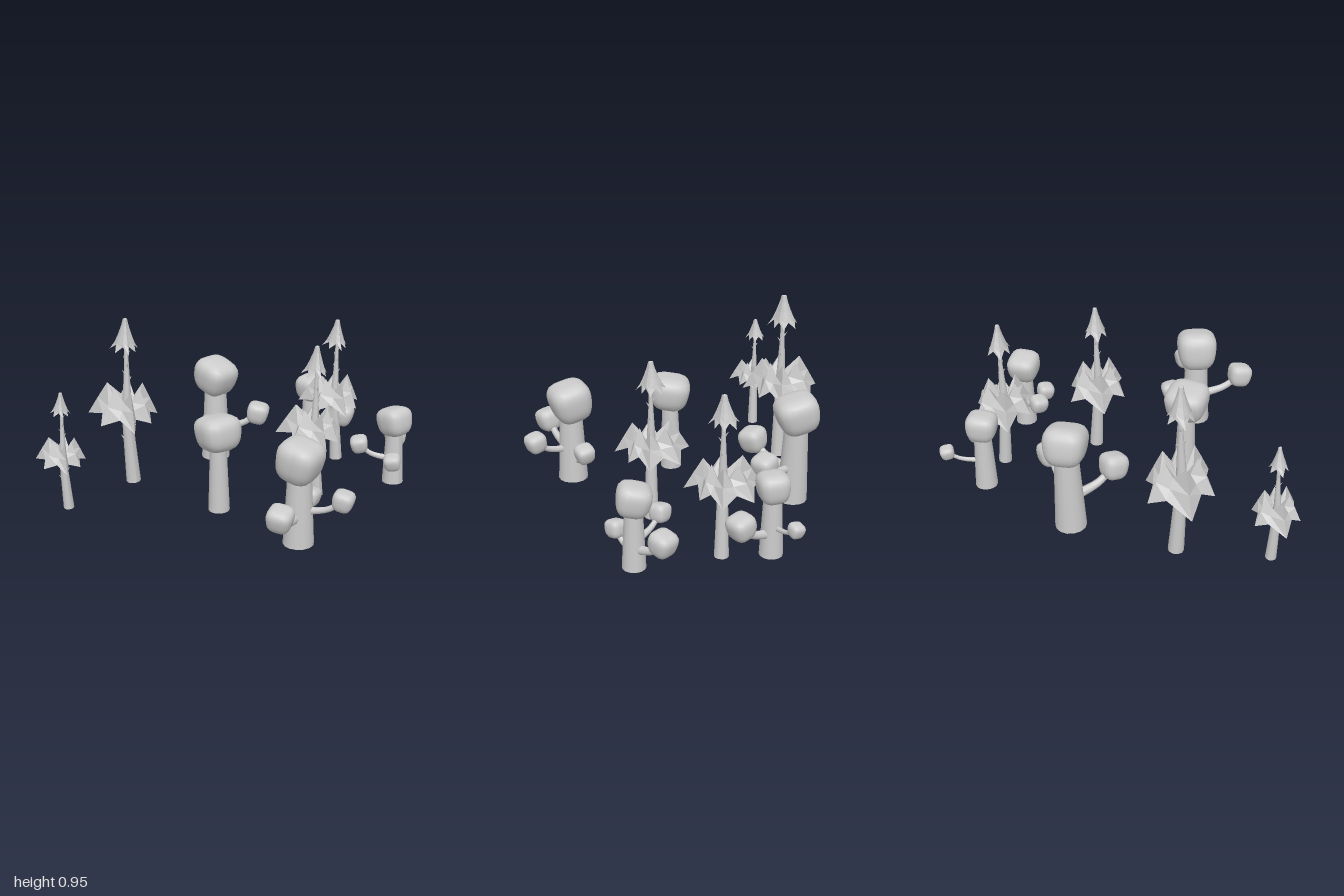
import * as THREE from 'three';

const grey = new THREE.MeshStandardMaterial({ color: 0xcccccc });
const leafMat = new THREE.MeshStandardMaterial({ color: 0xcccccc, side: THREE.DoubleSide });
const V = (x, y, z) => new THREE.Vector3(x, y, z);

function add(parent, name, geometry, material = grey) {
  const mesh = new THREE.Mesh(geometry, material);
  mesh.name = name;
  parent.add(mesh);
  return mesh;
}

// Tube through the points whose radius follows the list of radii
function taperedTube(points, radii, sides, segments = 12) {
  const curve = new THREE.CatmullRomCurve3(points);
  const geo = new THREE.TubeGeometry(curve, segments, 1, sides);
  const pos = geo.attributes.position;
  const v = new THREE.Vector3();
  for (let i = 0; i <= segments; i++) {
    const u = i / segments, f = u * (radii.length - 1);
    const k = Math.min(Math.floor(f), radii.length - 2);
    const r = THREE.MathUtils.lerp(radii[k], radii[k + 1], f - k);
    const c = curve.getPointAt(u);
    for (let j = 0; j <= sides; j++) {
      const n = i * (sides + 1) + j;
      v.fromBufferAttribute(pos, n).sub(c).multiplyScalar(r).add(c);
      pos.setXYZ(n, v.x, v.y, v.z);
    }
  }
  geo.computeVertexNormals();
  return geo;
}

// Soft rounded cube, slightly narrower underneath
function puffGeometry() {
  const geo = new THREE.SphereGeometry(1, 24, 18);
  const pos = geo.attributes.position;
  const p = 3.6;
  for (let i = 0; i < pos.count; i++) {
    const x = pos.getX(i), y = pos.getY(i), z = pos.getZ(i);
    const k = (Math.abs(x) ** p + Math.abs(y) ** p + Math.abs(z) ** p) ** (-1 / p);
    const taper = 0.93 + 0.1 * y * k - 0.08 * (y * k) ** 2;
    pos.setXYZ(i, x * k * taper, y * k, z * k * taper);
  }
  geo.computeVertexNormals();
  return geo;
}
const puff = puffGeometry();

function addPuff(parent, name, [x, y, z], [w, h, d], [rx, ry, rz]) {
  const mesh = add(parent, name, puff);
  mesh.position.set(x, y, z);
  mesh.scale.set(w, h, d);
  mesh.rotation.set(rx, ry, rz, 'YXZ');
}

// Round tree: flared trunk, cushion crown, side branches with small puffs
function roundTree({ base, r, crown, size, turn, branches }) {
  const tree = new THREE.Group();
  tree.name = 'roundTree';
  const foot = V(...base), top = V(...crown);
  const mid = foot.clone().lerp(top, 0.5);
  add(tree, 'trunk', taperedTube([foot, mid, top], [r, r * 0.86, r * 0.72], 14));
  const sole = add(tree, 'trunkBase', new THREE.CircleGeometry(r, 14));
  sole.rotation.x = Math.PI / 2;
  sole.position.copy(foot);
  addPuff(tree, 'crown', crown, size, turn);
  branches.forEach(([x, y, z, s], i) => {
    const start = V(foot.x, y - s * 1.2 - 0.02, foot.z);
    const end = V(x, y, z);
    const bend = V(0, 0, 0).lerpVectors(start, end, 0.65);
    bend.y = start.y + (y - start.y) * 0.35;
    add(tree, 'branch', taperedTube([start, bend, end], [s * 0.4, s * 0.3, s * 0.24], 8));
    addPuff(tree, 'branchPuff', [x, y, z], [s, s * 0.95, s], [0.2, Math.atan2(x - foot.x, z - foot.z), 0.15 * (i - 1)]);
  });
  return tree;
}

// Irregular star outline of the leaf skirts: tips (x, z) and the notch after each
const tips = [[-0.155, -0.203], [0.086, -0.166], [0.171, -0.005], [0.075, 0.118], [-0.064, 0.209], [-0.176, 0.02]];
const notches = [[-0.01, -0.165], [0.1, -0.075], [0.095, 0.06], [-0.02, 0.13], [-0.1, 0.1], [-0.135, -0.05]];
const star = tips.flatMap((t, i) => [t, notches[i]]);

// Each ring: [fraction of star at tips, at notches, y at tips, y at notches, blend to circle radius]
function starSkirt(rings) {
  const n = star.length, verts = [], index = [];
  rings.forEach(([ft, fn, yt, yn]) => star.forEach(([x, z], i) => {
    const f = i % 2 ? fn : ft;
    verts.push(x * f, i % 2 ? yn : yt, z * f);
  }));
  for (let k = 0; k < rings.length - 1; k++) {
    for (let i = 0; i < n; i++) {
      const a = k * n + i, b = k * n + (i + 1) % n;
      index.push(a, a + n, b, b, a + n, b + n);
    }
  }
  const geo = new THREE.BufferGeometry();
  geo.setAttribute('position', new THREE.Float32BufferAttribute(verts, 3));
  geo.setIndex(index);
  const flat = geo.toNonIndexed();
  flat.computeVertexNormals();
  return flat;
}

const skirtGeo = starSkirt([
  [0.1, 0.14, 0.43, 0.43],
  [0.5, 0.5, 0.56, 0.485],
  [0.75, 0.76, 0.465, 0.45],
  [1, 1, 0.365, 0.41],
]);
const capGeo = starSkirt([
  [0, 0, 0.935, 0.935],
  [0.06, 0.085, 0.93, 0.93],
  [0.1, 0.14, 0.895, 0.895],
  [0.19, 0.25, 0.84, 0.845],
  [0.28, 0.34, 0.795, 0.81],
  [0.4, 0.38, 0.755, 0.79],
]);
const pineTrunkGeo = taperedTube(
  [V(0.01, 0, 0), V(-0.002, 0.2, 0), V(-0.012, 0.4, 0), V(-0.006, 0.6, 0), V(0, 0.9, 0)],
  [0.04, 0.033, 0.026, 0.013, 0.008], 10, 24);

// Thorns: height, angle round the trunk, distance from its centre
const thorns = [[0.27, 3.3, 0.036], [0.33, 0.8, 0.034], [0.6, 0.3, 0.018], [0.64, 3.0, 0.018], [0.68, 1.6, 0.016], [0.71, 4.6, 0.016], [0.74, 0.1, 0.014]];

function pine(x, y, z, s) {
  const tree = new THREE.Group();
  tree.name = 'pine';
  add(tree, 'trunk', pineTrunkGeo);
  const sole = add(tree, 'trunkBase', new THREE.CircleGeometry(0.04, 10));
  sole.rotation.x = Math.PI / 2;
  sole.position.x = 0.01;
  add(tree, 'lowerLeaves', skirtGeo, leafMat);
  add(tree, 'topLeaves', capGeo, leafMat);
  for (const [h, a, d] of thorns) {
    const thorn = add(tree, 'thorn', new THREE.ConeGeometry(0.007, 0.035, 5));
    thorn.position.set(Math.cos(a) * d - 0.006, h, Math.sin(a) * d);
    thorn.quaternion.setFromUnitVectors(V(0, 1, 0), V(Math.cos(a), 1.3, Math.sin(a)).normalize());
  }
  tree.position.set(x, y, z);
  tree.scale.setScalar(s);
  return tree;
}

export function createModel() {
  const model = new THREE.Group();
  model.name = 'grove';
  model.add(
    pine(-0.88, 0.01, -0.43, 0.69),
    pine(-0.445, 0.01, -0.57, 1),
    pine(0.33, 0.01, 0.09, 0.9),
    pine(0.7, 0.01, -0.27, 0.89),
  );
  const roundTrees = [
    { base: [-0.06, 0.025, 0.54], r: 0.078, crown: [-0.06, 0.462, 0.543], size: [0.112, 0.107, 0.112], turn: [0.2, 0.5, 0],
      branches: [[-0.262, 0.27, 0.695, 0.066], [0.083, 0.285, 0.71, 0.055], [0.056, 0.215, 0.46, 0.053]] },
    { base: [0.113, 0.02, -0.625], r: 0.08, crown: [0.122, 0.5, -0.635], size: [0.11, 0.1, 0.115], turn: [0.27, 0.25, 0],
      branches: [[-0.025, 0.285, -0.42, 0.07], [0.305, 0.295, -0.475, 0.064]] },
    { base: [0.68, 0.015, -0.505], r: 0.058, crown: [0.683, 0.37, -0.505], size: [0.083, 0.075, 0.08], turn: [0.05, 0.3, 0.05],
      branches: [[0.836, 0.23, -0.61, 0.038], [0.81, 0.225, -0.36, 0.066]] },
    { base: [0.813, 0, 0.138], r: 0.058, crown: [0.81, 0.353, 0.138], size: [0.087, 0.08, 0.088], turn: [-0.22, 0.15, 0],
      branches: [[0.66, 0.21, 0.025, 0.05], [0.93, 0.195, -0.005, 0.064], [0.735, 0.16, 0.23, 0.048]] },
    { base: [-0.22, 0.03, 0.022], r: 0.056, crown: [-0.225, 0.46, 0.03], size: [0.113, 0.092, 0.11], turn: [-0.15, 0.06, 0],
      branches: [] },
  ];
  roundTrees.forEach((t) => model.add(roundTree(t)));
  return model;
}
